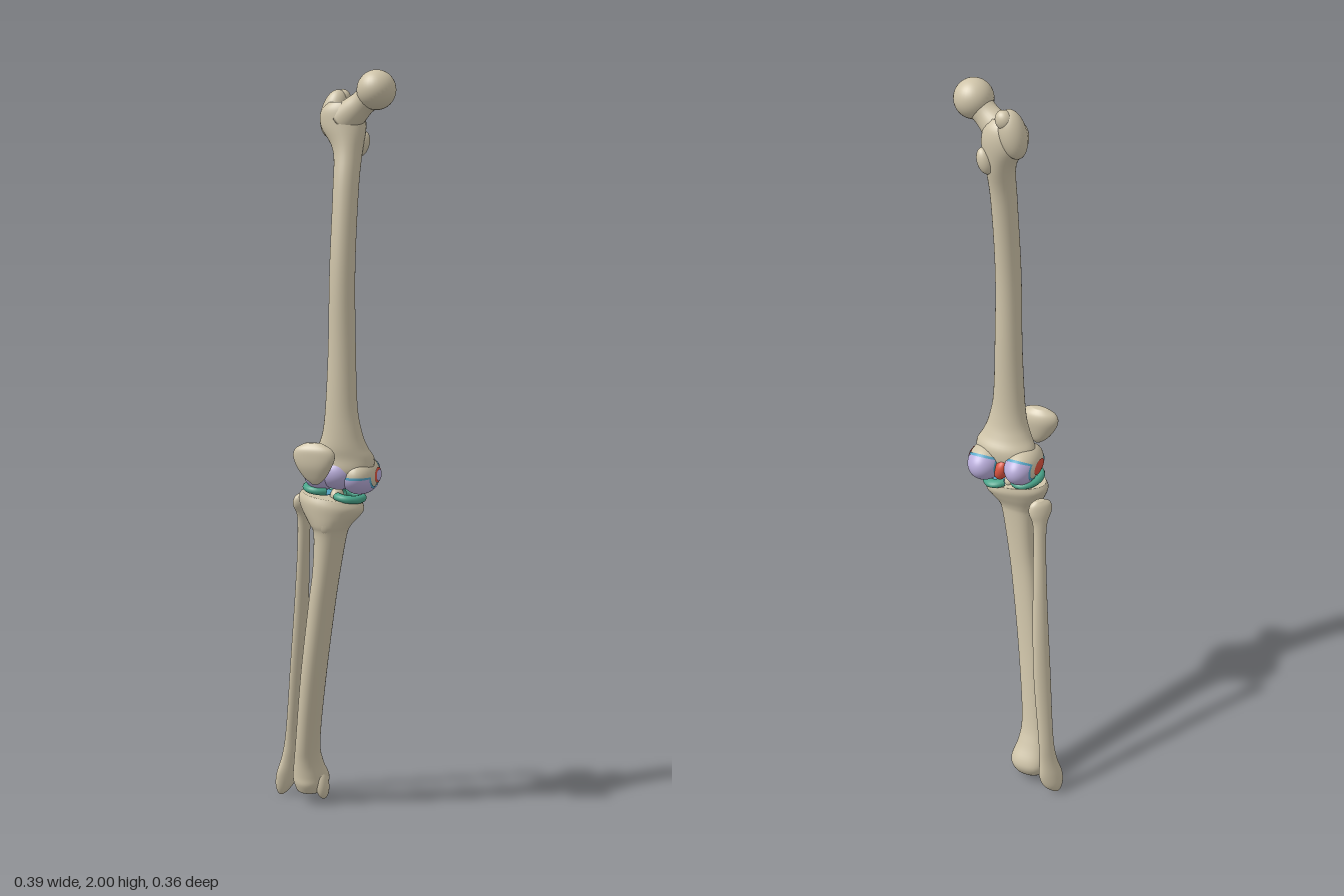
import * as THREE from 'three';

const mat = (name, color, side = THREE.FrontSide) => {
  const m = new THREE.MeshStandardMaterial({ color, side });
  m.name = name;
  return m;
};

// Smooth interpolation through a list of equally long rows
function smoothRows(rows, steps) {
  const out = [];
  const n = rows.length;
  for (let i = 0; i < n - 1; i++) {
    const [p, q, r, s] = [i - 1, i, i + 1, i + 2].map(k => rows[Math.min(n - 1, Math.max(0, k))]);
    for (let k = 0; k < steps; k++) {
      const t = k / steps;
      out.push(q.map((b, c) => b + 0.5 * t * (r[c] - p[c] + t * (2 * p[c] - 5 * b + 4 * r[c] - s[c]
        + t * (3 * (b - r[c]) + s[c] - p[c])))));
    }
  }
  out.push(rows[n - 1]);
  return out;
}

// Horizontal cross-sections from bottom to top: [y, centreX, centreZ, radiusX, radiusZ, tilt (0 if left out)]
function loft(sections, { turn = 0, crest = 0, seg = 32 } = {}) {
  const rows = smoothRows(sections.map(([y, cx, cz, rx, rz, tilt = 0]) => [y, cx, cz, rx, rz, tilt]), 5);
  const shrink = (r) => [r[0], r[1], r[2], 0, 0, 0];
  rows.unshift(shrink(rows[0]));
  rows.push(shrink(rows[rows.length - 1]));
  const pos = [], idx = [];
  const c = Math.cos(turn), s = Math.sin(turn);
  rows.forEach(([y, cx, cz, rx, rz, tilt], i) => {
    for (let j = 0; j < seg; j++) {
      const a = j / seg * Math.PI * 2;
      const k = 1 + crest * Math.cos(3 * (a - Math.PI / 2));
      const u = Math.cos(a) * rx * k, v = Math.sin(a) * rz * k;
      const dx = u * c - v * s;
      pos.push(cx + dx, y + tilt * dx, cz + u * s + v * c);
      if (i < rows.length - 1) {
        const p = i * seg + j, q = i * seg + (j + 1) % seg;
        idx.push(p, p + seg, q, q, p + seg, q + seg);
      }
    }
  });
  const g = new THREE.BufferGeometry();
  g.setAttribute('position', new THREE.Float32BufferAttribute(pos, 3));
  g.setIndex(idx);
  g.computeVertexNormals();
  return g;
}

export function createModel() {
  const bone = mat('bone', 0xcfc4a9);
  const lilac = mat('lilac cartilage', 0xbaaedb, THREE.DoubleSide);
  const blue = mat('blue rim', 0x55a5c6, THREE.DoubleSide);
  const teal = mat('teal meniscus', 0x4aa58b, THREE.DoubleSide);
  const red = mat('red ligament', 0xd9533f, THREE.DoubleSide);

  const model = new THREE.Group();
  const group = (name) => {
    const g = new THREE.Group();
    g.name = name;
    model.add(g);
    return g;
  };
  const add = (parent, name, geometry, material) => {
    const m = new THREE.Mesh(geometry, material);
    m.name = name;
    parent.add(m);
    return m;
  };
  const ellipsoid = (parent, name, c, r, material, rotZ = 0) => {
    const m = add(parent, name, new THREE.SphereGeometry(1, 32, 24), material);
    m.position.set(...c);
    m.scale.set(...r);
    m.rotation.z = rotZ;
  };
  // Part of an ellipsoid with its poles on the x axis; phi runs up, front, down, back
  const shell = (parent, name, c, r, grow, phi, theta, material) => {
    const g = new THREE.SphereGeometry(1, 40, 24, phi[0] * Math.PI, (phi[1] - phi[0]) * Math.PI,
      theta[0] * Math.PI, (theta[1] - theta[0]) * Math.PI);
    g.rotateZ(-Math.PI / 2);
    const m = add(parent, name, g, material);
    m.position.set(...c);
    m.scale.set(...r.map(v => v + grow));
  };

  // Thigh bone
  const femur = group('femur');
  add(femur, 'femurShaft', loft([
    [0.945, 0.04, 0.03, 0.06, 0.04],
    [0.975, 0.045, 0.032, 0.083, 0.056],
    [1.01, 0.05, 0.032, 0.082, 0.056],
    [1.04, 0.051, 0.042, 0.066, 0.05],
    [1.08, 0.052, 0.05, 0.052, 0.043],
    [1.15, 0.051, 0.055, 0.042, 0.038],
    [1.3, 0.053, 0.058, 0.036, 0.036],
    [1.5, 0.055, 0.062, 0.033, 0.036],
    [1.7, 0.06, 0.05, 0.033, 0.036],
    [1.8, 0.06, 0.032, 0.038, 0.039],
    [1.86, 0.047, 0.025, 0.059, 0.041],
    [1.9, 0.043, 0.026, 0.056, 0.037],
    [1.922, 0.046, 0.03, 0.036, 0.025],
  ]), bone);
  ellipsoid(femur, 'greaterTrochanter', [0.016, 1.895, 0.008], [0.034, 0.062, 0.034], bone, -0.25);
  ellipsoid(femur, 'trochanterTip', [0.034, 1.932, -0.004], [0.022, 0.025, 0.02], bone, -0.4);
  ellipsoid(femur, 'lesserTrochanter', [0.088, 1.818, 0.002], [0.02, 0.034, 0.02], bone, -0.3);

  const from = new THREE.Vector3(0.045, 1.872, 0.03), to = new THREE.Vector3(0.143, 1.95, 0.056);
  const along = to.clone().sub(from), len = along.length();
  const neck = add(femur, 'femurNeck', loft([
    [0, 0, 0, 0.045, 0.036],
    [len * 0.35, 0, 0, 0.038, 0.033],
    [len * 0.65, 0, 0, 0.033, 0.031],
    [len, 0, 0, 0.042, 0.04],
  ]), bone);
  neck.position.copy(from);
  neck.quaternion.setFromUnitVectors(new THREE.Vector3(0, 1, 0), along.normalize());
  ellipsoid(femur, 'femurHead', [0.142, 1.95, 0.056], [0.05, 0.05, 0.05], bone);

  // Knee end of the thigh bone with its joint surfaces
  const condyles = [
    ['lateral', [-0.01, 0.969, 0.02], [0.045, 0.048, 0.077], [0.87, 1]],
    ['medial', [0.092, 0.964, 0.014], [0.049, 0.05, 0.076], [0, 0.13]],
  ];
  for (const [side, c, r, cap] of condyles) {
    ellipsoid(femur, side + 'Condyle', c, r, bone);
    shell(femur, side + 'CartilageRim', c, r, 0.0015, [0.5, 1.77], [0.2, 0.8], blue);
    shell(femur, side + 'Cartilage', c, r, 0.003, [0.54, 1.73], [0.235, 0.765], lilac);
    shell(femur, side + 'LigamentPatch', c, r, 0.002, [0, 2], cap, red);
  }
  const [, medialCentre, medialRadii] = condyles[1];
  shell(femur, 'medialPatchCentre', medialCentre, medialRadii, 0.0035, [0, 2], [0, 0.095], lilac);
  const groove = [[0.04, 0.972, 0.035], [0.052, 0.045, 0.058]];
  ellipsoid(femur, 'grooveBody', ...groove, bone);
  shell(femur, 'grooveCartilageRim', ...groove, 0.0015, [0.3, 0.95], [0.12, 0.88], blue);
  shell(femur, 'grooveCartilage', ...groove, 0.003, [0.33, 0.93], [0.14, 0.86], lilac);
  ellipsoid(femur, 'cruciateLigament', [0.04, 0.957, -0.015], [0.02, 0.032, 0.024], red, 0.3);

  // Shin bone
  const tibia = group('tibia');
  add(tibia, 'tibiaShaft', loft([
    [0.035, -0.092, -0.117, 0.04, 0.036],
    [0.06, -0.091, -0.117, 0.05, 0.048],
    [0.085, -0.091, -0.114, 0.05, 0.047],
    [0.13, -0.092, -0.097, 0.04, 0.038],
    [0.2, -0.085, -0.073, 0.034, 0.034],
    [0.4, -0.053, -0.025, 0.035, 0.036],
    [0.6, -0.018, 0.013, 0.036, 0.037],
    [0.7, 0, 0.028, 0.037, 0.039],
    [0.8, 0.014, 0.04, 0.044, 0.043],
    [0.83, 0.015, 0.044, 0.056, 0.048],
    [0.86, 0.015, 0.04, 0.077, 0.055, -0.08],
    [0.885, 0.015, 0.036, 0.088, 0.059, -0.14],
    [0.904, 0.015, 0.034, 0.082, 0.055, -0.14],
  ], { crest: 0.06 }), bone);
  ellipsoid(tibia, 'shinTuberosity', [0.015, 0.842, 0.078], [0.024, 0.035, 0.018], bone);
  ellipsoid(tibia, 'plateauRidge', [0.03, 0.905, 0.025], [0.017, 0.022, 0.028], bone);
  ellipsoid(tibia, 'innerAnkleKnob', [-0.054, 0.058, -0.108], [0.019, 0.042, 0.026], bone, 0.15);

  // Menisci and plateau cartilage
  const knee = group('menisci');
  for (const [side, c, start] of [
    ['lateral', [-0.017, 0.923, 0.025], 0.25],
    ['medial', [0.064, 0.905, 0.027], -0.75],
  ]) {
    const g = new THREE.TorusGeometry(0.033, 0.012, 12, 40, 1.5 * Math.PI);
    g.rotateZ(start * Math.PI).rotateX(Math.PI / 2).scale(1, 0.9, 1.3).rotateZ(-0.14);
    add(knee, side + 'Meniscus', g, teal).position.set(...c);
    ellipsoid(knee, side + 'PlateauCartilage', [c[0], c[1] - 0.009, c[2]], [0.036, 0.004, 0.048], blue, -0.14);
  }

  // Slim outer shin bone
  const fibula = group('fibula');
  add(fibula, 'fibulaShaft', loft([
    [0.004, -0.186, -0.143, 0.006, 0.005],
    [0.012, -0.183, -0.144, 0.016, 0.011],
    [0.035, -0.177, -0.149, 0.03, 0.018],
    [0.07, -0.17, -0.151, 0.035, 0.019],
    [0.12, -0.162, -0.151, 0.026, 0.016],
    [0.2, -0.152, -0.147, 0.022, 0.015],
    [0.4, -0.126, -0.118, 0.025, 0.016],
    [0.6, -0.105, -0.086, 0.021, 0.015],
    [0.75, -0.09, -0.057, 0.018, 0.014],
    [0.83, -0.084, -0.043, 0.02, 0.015],
    [0.865, -0.081, -0.034, 0.033, 0.019],
    [0.888, -0.079, -0.031, 0.03, 0.016],
    [0.9, -0.077, -0.033, 0.012, 0.007],
  ], { turn: -0.88, seg: 24 }), bone);

  // Kneecap
  const patella = group('patella');
  add(patella, 'kneecap', loft([
    [0.955, 0.012, 0.155, 0.008, 0.006],
    [0.972, 0.011, 0.155, 0.028, 0.016],
    [1.0, 0.01, 0.157, 0.046, 0.024],
    [1.028, 0.01, 0.157, 0.056, 0.026],
    [1.048, 0.009, 0.158, 0.048, 0.022],
    [1.062, 0.008, 0.158, 0.022, 0.01],
  ], { turn: 0.06, crest: -0.06 }), bone);

  return model;
}
